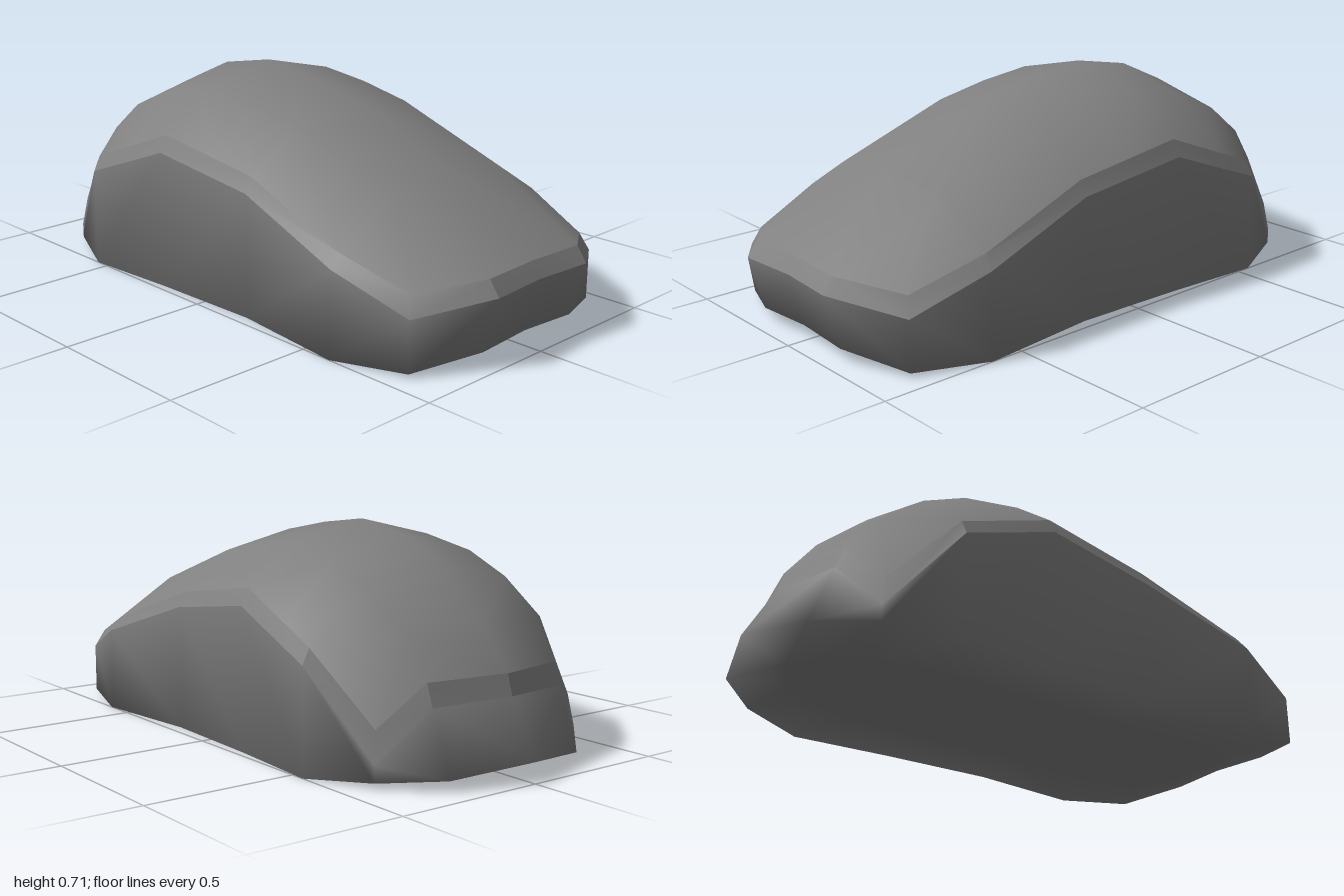
import * as THREE from 'three';
import { mergeVertices, toCreasedNormals } from 'three/addons/utils/BufferGeometryUtils.js';

// Half outlines [x, y, z] from front centre round the +x side to back centre
const upperEdge = [
  [0, .275, .955], [.21, .275, .965], [.40, .24, .84], [.46, .325, .6], [.435, .46, .2],
  [.45, .52, -.2], [.475, .385, -.55], [.395, .17, -.755], [.26, .3, -.82], [0, .305, -.88],
];
const lowerEdge = [
  [0, .225, .985], [.21, .225, 1], [.43, .18, .86], [.495, .28, .61], [.46, .41, .2],
  [.477, .465, -.2], [.5, .335, -.55], [.41, .07, -.77], [.26, .23, -.845], [0, .24, -.9],
];
const skirtEdge = [
  [0, .05, .94], [.21, .045, .95], [.43, .015, .86], [.5, 0, .61], [.46, 0, .2],
  [.475, 0, -.2], [.5, 0, -.55], [.41, .02, -.77], [.26, .035, -.92], [0, .065, -1],
];

const flip = ([x, y, z]) => [-x, y, z];
const mix = (a, b, t) => a.map((v, i) => v + (b[i] - v) * t);
// Closed ring from a half outline
const ring = (half) => [...half, ...half.slice(0, -1).reverse().map(flip)];
// Full cross-section (-x to +x) from a half section that starts at the centre
const section = (half) => [...half.slice(1).reverse().map(flip), ...half];
// Ring drawn in towards the middle of the underside
const inset = (half, s) => half.map(([x, y, z]) => [x * s, y * .2, z * .85]);

// Smooth skin over equally long rows of points, with diagonals mirrored about x = 0
function skin(rows) {
  const n = rows[0].length, index = [];
  for (let r = 0; r < rows.length - 1; r++) {
    for (let c = 0; c < n - 1; c++) {
      const a = r * n + c, b = a + n;
      const onLeft = rows[r][c][0] + rows[r][c + 1][0] > 0;
      if (onLeft) index.push(a, b, b + 1, a, b + 1, a + 1);
      else index.push(a, b, a + 1, a + 1, b, b + 1);
    }
  }
  const geo = new THREE.BufferGeometry();
  geo.setAttribute('position', new THREE.Float32BufferAttribute(rows.flat(2), 3));
  geo.setIndex(index);
  const welded = mergeVertices(geo);
  welded.computeVertexNormals();
  return welded;
}

export function createModel() {
  const group = new THREE.Group();
  const material = new THREE.MeshStandardMaterial({ color: 0x808080 });
  const add = (name, geo) => {
    const mesh = new THREE.Mesh(geo, material);
    mesh.name = name;
    group.add(mesh);
  };
  const U = upperEdge;

  // Domed palm shell: centre, shoulder and edge of each section, back to front
  const sections = [
    [U[9], U[8], U[7]],
    [[0, .44, -.775], [.27, .42, -.73], U[7]],
    [[0, .59, -.6], [.29, .535, -.57], U[6]],
    [[0, .67, -.42], [.285, .605, -.41], mix(U[5], U[6], .6)],
    [[0, .71, -.2], [.28, .645, -.2], U[5]],
    [[0, .685, 0], [.27, .625, 0], mix(U[5], U[4], .5)],
    [[0, .645, .21], [.26, .59, .2], U[4]],
    [[0, .48, .62], [.25, .45, .61], U[3]],
    [U[0], U[1], U[2]],
  ];
  add('palmShell', skin(sections.map(section)));

  // Bevelled rim between shell and sides
  add('rimBevel', toCreasedNormals(skin([ring(U), ring(lowerEdge)]), 0.4));

  // Side walls rolling softly into the flat underside
  const bodyRows = [lowerEdge, skirtEdge, inset(skirtEdge, .5), inset(skirtEdge, 0)];
  add('lowerBody', skin(bodyRows.map(ring)));

  return group;
}
